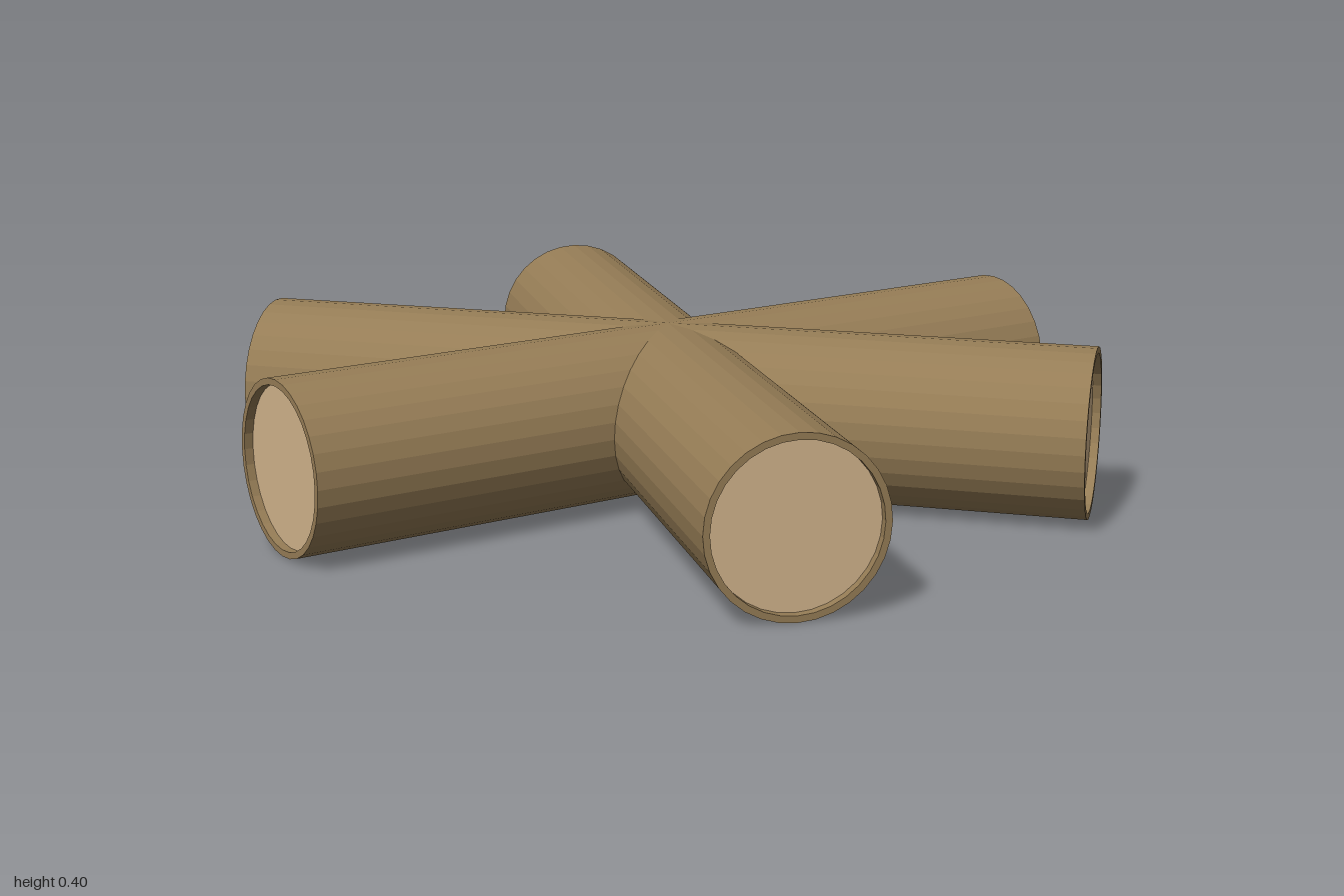
import * as THREE from 'three';

const RADIUS = 0.198, INNER = 0.183, HALF = 1, RECESS = 0.02, SIDES = 32;

export function createModel() {
  const model = new THREE.Group();
  model.name = 'crossedLogs';

  const bark = new THREE.MeshStandardMaterial({ color: 0x967d56, flatShading: true });
  const wood = new THREE.MeshStandardMaterial({ color: 0xd2b48c });

  // Bark shell: outer wall, end rims and the short inner walls of the recesses
  const floor = HALF - RECESS;
  const profile = [
    [INNER, -floor], [INNER, -HALF], [RADIUS, -HALF],
    [RADIUS, HALF], [INNER, HALF], [INNER, floor],
  ].map(([r, y]) => new THREE.Vector2(r, y));
  const barkGeometry = new THREE.LatheGeometry(profile, SIDES).rotateZ(-Math.PI / 2);

  // Pale cut face set just inside the rim
  const faceGeometry = new THREE.CircleGeometry(INNER, SIDES);

  // Three full-length logs crossing at the centre
  for (const degrees of [0, 60, 132]) {
    const log = new THREE.Group();
    log.name = 'log';

    const shell = new THREE.Mesh(barkGeometry, bark);
    shell.name = 'bark';
    log.add(shell);

    for (const side of [-1, 1]) {
      const face = new THREE.Mesh(faceGeometry, wood);
      face.name = 'cutFace';
      face.position.x = side * floor;
      face.rotation.y = side * Math.PI / 2;
      log.add(face);
    }

    log.position.y = RADIUS;
    log.rotation.y = -THREE.MathUtils.degToRad(degrees);
    model.add(log);
  }
  return model;
}
